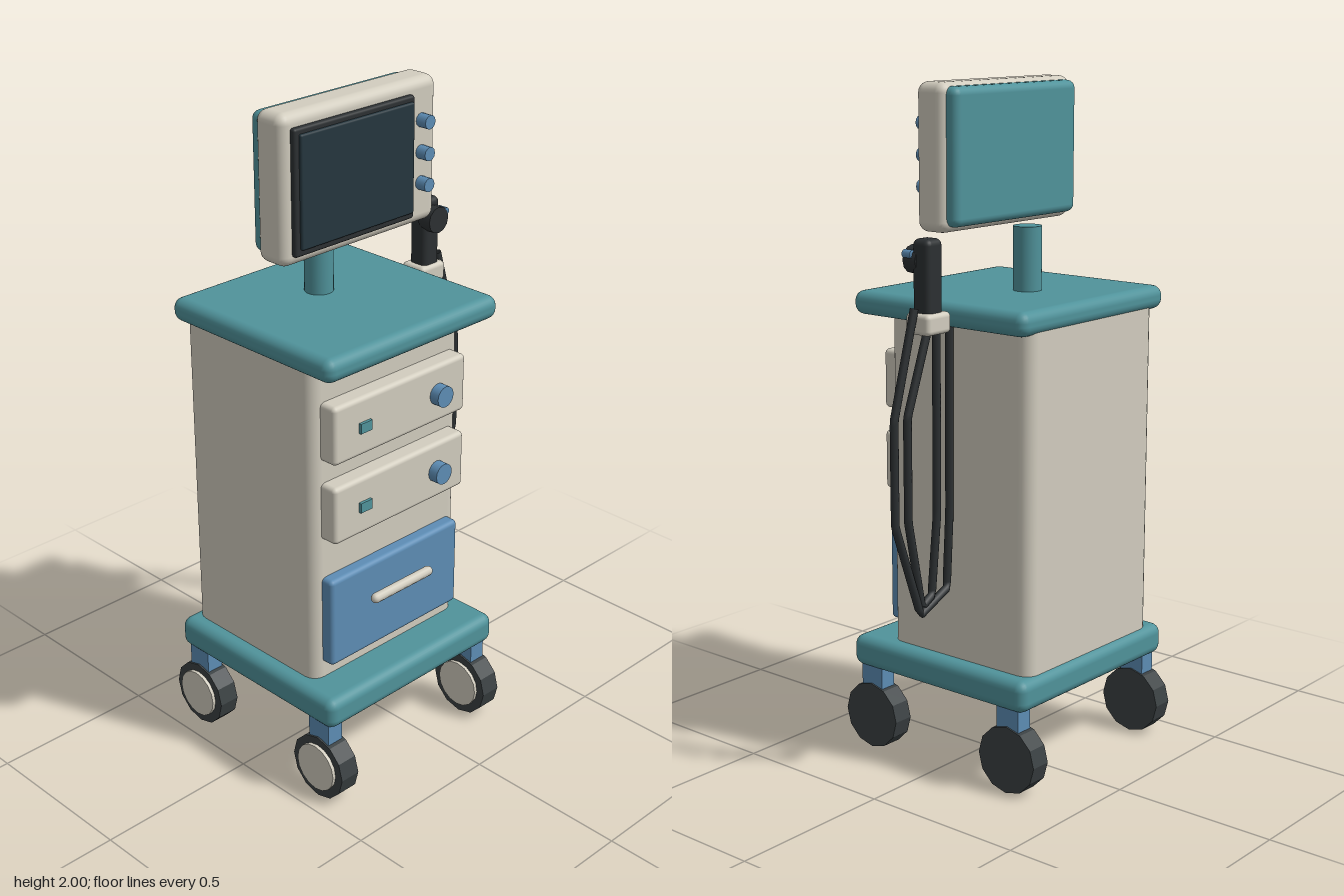
import * as THREE from 'three';
import { RoundedBoxGeometry } from 'three/addons/geometries/RoundedBoxGeometry.js';

const mat = (color, flatShading = false) => new THREE.MeshStandardMaterial({ color, flatShading });

export function createModel() {
  const model = new THREE.Group();
  const teal = mat(0x50939b), cream = mat(0xd2cdbf), blue = mat(0x5d8db5);
  const dark = mat(0x2c3032), rubber = mat(0x3b4143, true), glass = mat(0x25363e);
  const CX = -0.105; // centre line of the cart

  const add = (name, geometry, material, x = 0, y = 0, z = 0) => {
    const mesh = new THREE.Mesh(geometry, material);
    mesh.name = name;
    mesh.position.set(x, y, z);
    model.add(mesh);
    return mesh;
  };
  // Rounded box given by its extents on each axis
  const block = (name, material, [x0, x1], [y0, y1], [z0, z1], r) =>
    add(name, new RoundedBoxGeometry(x1 - x0, y1 - y0, z1 - z0, 3, r), material,
      (x0 + x1) / 2, (y0 + y1) / 2, (z0 + z1) / 2);
  // Cylinder along an axis, centred on a point
  const rod = (name, material, axis, r, length, x, y, z, sides = 20) => {
    const g = new THREE.CylinderGeometry(r, r, length, sides);
    if (axis === 'x') g.rotateZ(Math.PI / 2);
    if (axis === 'z') g.rotateX(Math.PI / 2);
    return add(name, g, material, x, y, z);
  };

  // Cabinet between two slabs
  block('base', teal, [-0.45, 0.24], [0.255, 0.35], [-0.33, 0.33], 0.03);
  block('cabinet', cream, [-0.4, 0.19], [0.29, 1.375], [-0.31, 0.21], 0.04);
  block('worktop', teal, [-0.44, 0.227], [1.33, 1.4], [-0.318, 0.322], 0.03);

  // Casters, with a pale hub disc on the -x face
  for (const x of [-0.41, 0.196]) {
    for (const z of [-0.262, 0.265]) {
      add('casterStem', new THREE.BoxGeometry(0.054, 0.12, 0.08), blue, x, 0.21, z);
      rod('wheel', rubber, 'x', 0.101, 0.065, x, 0.103, z, 12);
      rod('wheelHub', cream, 'x', 0.074, 0.02, x - 0.033, 0.105, z, 16);
    }
  }

  // Two control modules, each with an indicator and a dial
  for (const y of [1.137, 0.892]) {
    block('controlModule', cream, [-0.365, 0.155], [y - 0.088, y + 0.088], [0.18, 0.264], 0.014);
    add('indicator', new THREE.BoxGeometry(0.044, 0.03, 0.02), teal, -0.251, y, 0.263);
    rod('dial', blue, 'z', 0.032, 0.05, 0.04, y, 0.27, 16);
  }

  // Drawer with a bar handle
  block('drawer', blue, [-0.365, 0.155], [0.4, 0.68], [0.19, 0.248], 0.014);
  const handle = new THREE.CapsuleGeometry(0.015, 0.215, 4, 10).rotateZ(Math.PI / 2);
  add('drawerHandle', handle, cream, CX, 0.577, 0.272);

  // Monitor on its column
  rod('monitorColumn', teal, 'y', 0.042, 0.2, CX, 1.487, -0.065, 24);
  block('monitorBack', teal, [-0.38, 0.17], [1.6, 1.988], [-0.032, 0.04], 0.024);
  block('monitorCase', cream, [-0.395, 0.187], [1.583, 2], [0, 0.107], 0.03);
  block('screenBezel', dark, [-0.363, 0.083], [1.613, 1.963], [0.09, 0.122], 0.008);
  block('screen', glass, [-0.347, 0.074], [1.632, 1.947], [0.1, 0.131], 0.006);
  for (const y of [1.883, 1.793, 1.704]) {
    rod('monitorKnob', blue, 'z', 0.02, 0.04, 0.122, y, 0.122, 12);
  }

  // Probe standing in a side holder
  block('probeHolder', cream, [0.245, 0.345], [1.325, 1.385], [-0.081, 0.006], 0.014);
  block('probeGrip', dark, [0.263, 0.329], [1.34, 1.588], [-0.068, -0.005], 0.018);
  rod('probeHead', dark, 'z', 0.04, 0.045, 0.295, 1.527, -0.002, 12);
  rod('probeButton', blue, 'z', 0.012, 0.03, 0.328, 1.545, 0.004, 10);

  // Two hanging cable loops with straight runs
  const loops = [
    [[0.205, 1.36], [0.208, 0.8], [0.222, 0.57], [0.335, 0.518], [0.436, 0.8], [0.436, 1.1], [0.35, 1.4]],
    [[0.26, 1.33], [0.262, 0.8], [0.287, 0.565], [0.33, 0.54], [0.382, 0.8], [0.382, 1.1], [0.29, 1.35]],
  ];
  for (const points of loops) {
    const path = new THREE.CurvePath();
    const v = points.map(([x, y]) => new THREE.Vector3(x, y, -0.035));
    for (let i = 1; i < v.length; i++) path.add(new THREE.LineCurve3(v[i - 1], v[i]));
    add('cable', new THREE.TubeGeometry(path, 90, 0.012, 8), dark).material.side = THREE.DoubleSide;
  }

  return model;
}
